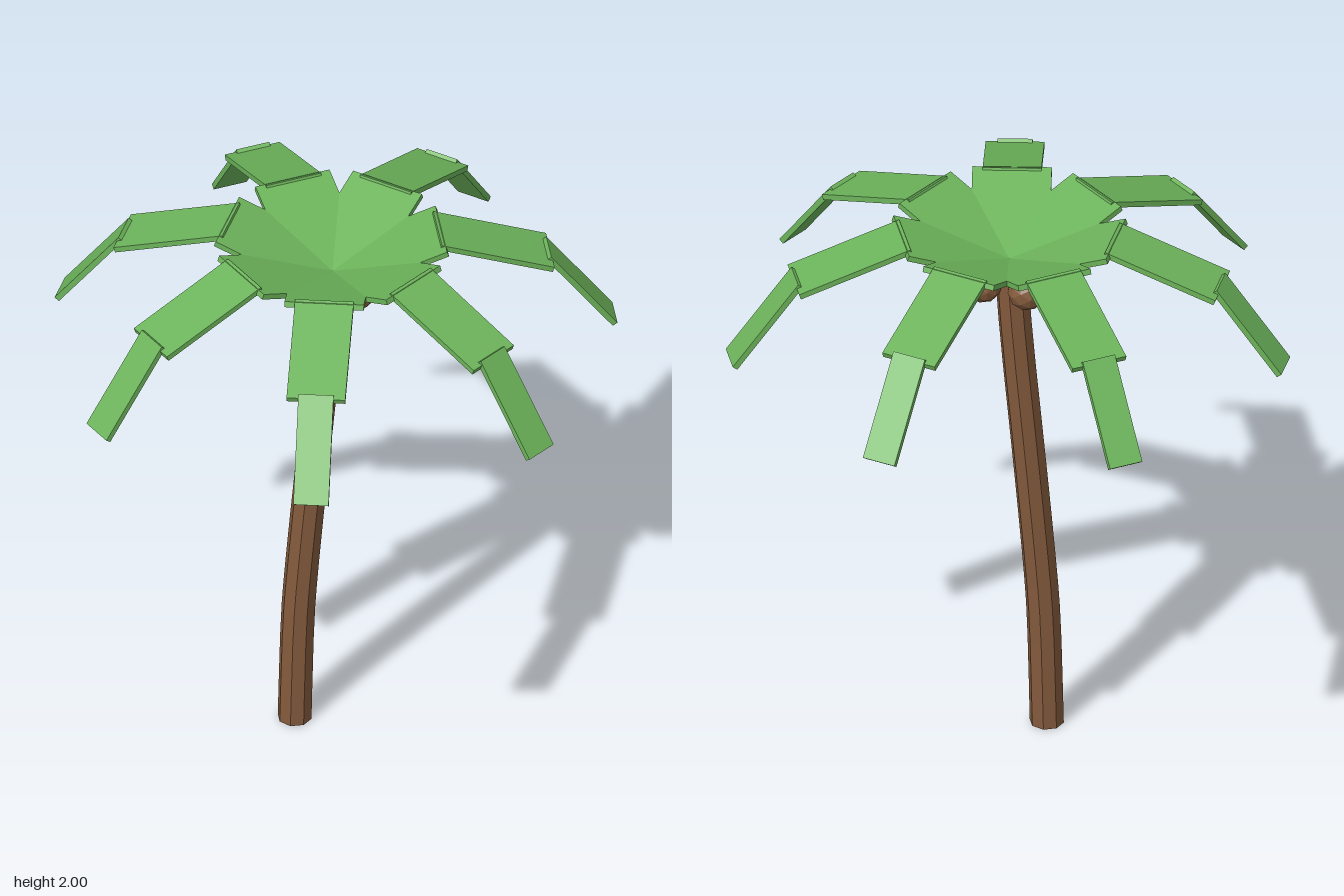
import * as THREE from 'three';

const CROWN_X = -0.03;

export function createModel() {
  const leaf = new THREE.MeshStandardMaterial({ color: 0x6cb35a });
  leaf.name = 'leafGreen';
  const bark = new THREE.MeshStandardMaterial({ color: 0x835a3c });
  bark.name = 'barkBrown';
  leaf.flatShading = bark.flatShading = true;

  const palm = new THREE.Group();
  palm.name = 'palmTree';

  // Trunk: an eight-sided column whose rings slide along a gentle curve
  const height = 1.855;
  const bend = new THREE.SplineCurve([
    [-0.16, 0], [-0.15, 0.4], [-0.134, 0.65], [-0.1, 1.05], [-0.055, 1.55], [-0.035, height],
  ].map(([x, y]) => new THREE.Vector2(x, y)));
  const trunkGeo = new THREE.CylinderGeometry(0.057, 0.059, height, 8, 12);
  trunkGeo.rotateY(Math.PI / 8).translate(0, height / 2, 0);
  const pos = trunkGeo.attributes.position;
  for (let i = 0; i < pos.count; i++) {
    const p = bend.getPoint(THREE.MathUtils.clamp(pos.getY(i) / height, 0, 1));
    pos.setXYZ(i, pos.getX(i) + p.x, p.y, pos.getZ(i));
  }
  trunkGeo.computeVertexNormals();
  const trunk = new THREE.Mesh(trunkGeo, bark);
  trunk.name = 'trunk';
  palm.add(trunk);

  // One flat leaf board running from (r0, y0) to (r1, y1)
  function board(name, r0, y0, r1, y1, width) {
    const geo = new THREE.BoxGeometry(Math.hypot(r1 - r0, y1 - y0), 0.02, width);
    const mesh = new THREE.Mesh(geo, leaf);
    mesh.name = name;
    mesh.position.set((r0 + r1) / 2, (y0 + y1) / 2, 0);
    mesh.rotation.z = Math.atan2(y1 - y0, r1 - r0);
    return mesh;
  }

  // Seven fronds: each rises, tips over, then droops
  for (let i = 0; i < 7; i++) {
    const frond = new THREE.Group();
    frond.name = `frond${i + 1}`;
    frond.add(
      board('frondBase', 0, 1.85, 0.377, 1.987, 0.27),
      board('frondMiddle', 0.358, 1.99, 0.745, 1.857, 0.2),
      board('frondTip', 0.735, 1.875, 0.962, 1.575, 0.12),
    );
    frond.position.x = CROWN_X;
    frond.rotation.y = (i / 7) * Math.PI * 2;
    palm.add(frond);
  }

  // Three coconuts under the crown
  for (let i = 0; i < 3; i++) {
    const a = (i / 3) * Math.PI * 2;
    const nut = new THREE.Mesh(new THREE.IcosahedronGeometry(0.066, 1), bark);
    nut.name = `coconut${i + 1}`;
    nut.position.set(CROWN_X + 0.09 * Math.cos(a), 1.772, 0.09 * Math.sin(a));
    palm.add(nut);
  }
  return palm;
}
